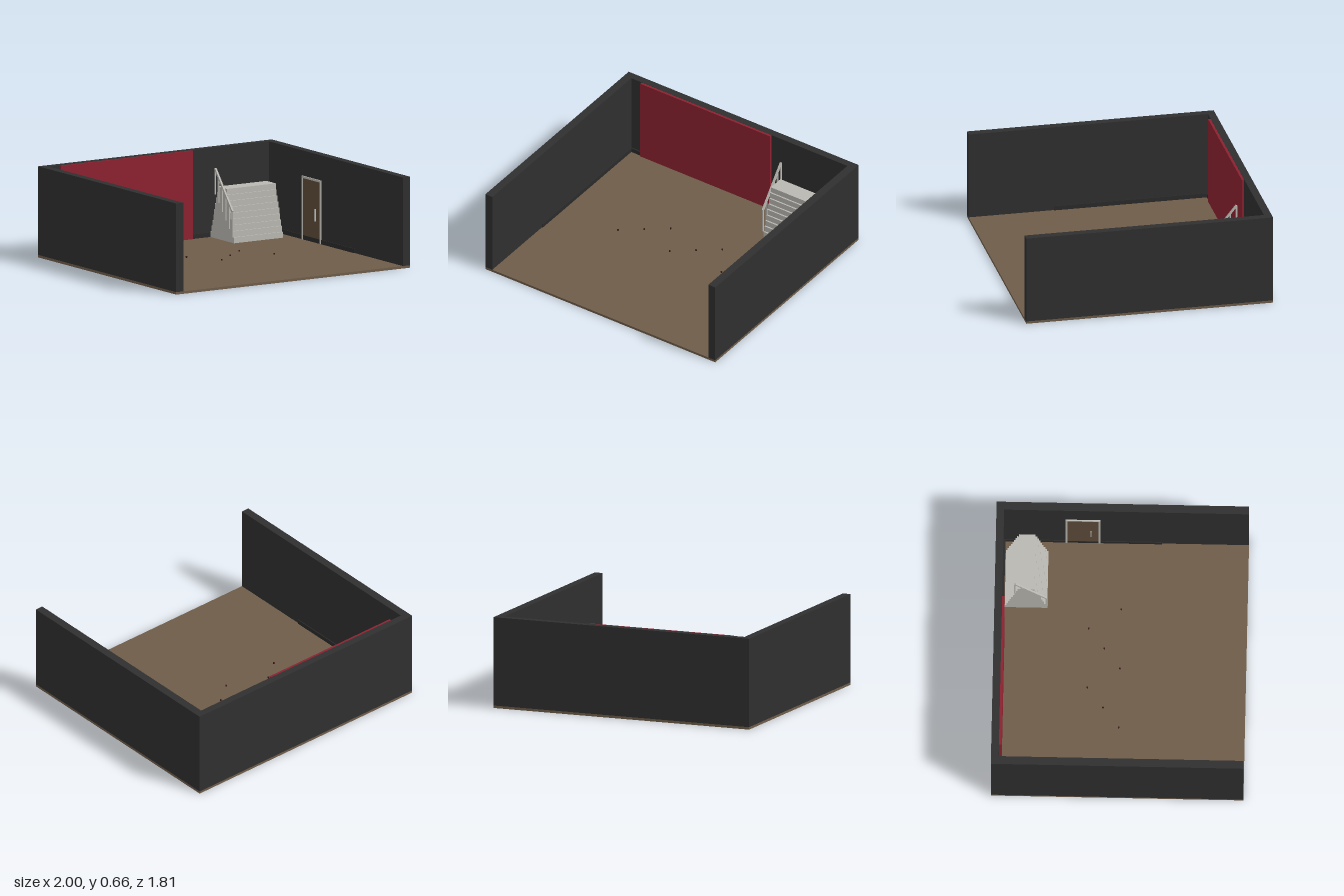
import * as THREE from 'three';

export function createModel() {
  const model = new THREE.Group();
  model.name = 'stageRoom';

  const paint = (name, color) => {
    const m = new THREE.MeshStandardMaterial({ color });
    m.name = name;
    return m;
  };
  const wood = paint('woodBrown', 0x6e5c49);
  const charcoal = paint('charcoal', 0x2f2f2f);
  const skirtingDark = paint('skirtingDark', 0x2a2a2a);
  const red = paint('curtainRed', 0x8c2230);
  const pale = paint('paleGrey', 0xbab8b1);
  const doorBrown = paint('doorBrown', 0x5e4c3a);
  const markRed = paint('markRed', 0x3a1518);

  // Box given by its lower and upper limits on each axis
  const box = (parent, name, mat, [x0, x1], [y0, y1], [z0, z1]) => {
    const mesh = new THREE.Mesh(new THREE.BoxGeometry(x1 - x0, y1 - y0, z1 - z0), mat);
    mesh.position.set((x0 + x1) / 2, (y0 + y1) / 2, (z0 + z1) / 2);
    mesh.name = name;
    parent.add(mesh);
    return mesh;
  };
  const group = (name) => {
    const g = new THREE.Group();
    g.name = name;
    model.add(g);
    return g;
  };

  // Floor and three walls, open at the front
  const floorY = 0.018, top = 0.663, depth = 0.905;
  box(model, 'floor', wood, [-1, 1], [0, floorY], [-depth, depth]);
  box(model, 'backWall', charcoal, [-0.94, 0.94], [floorY, top], [-depth, -0.85]);
  box(model, 'rightWall', charcoal, [-1, -0.94], [floorY, top], [-depth, depth]);
  box(model, 'leftWall', charcoal, [0.94, 1], [floorY, top], [-depth, depth]);

  // Skirting boards
  const skirting = group('skirting');
  box(skirting, 'backSkirting', skirtingDark, [-0.94, 0.94], [floorY, 0.05], [-0.85, -0.84]);
  box(skirting, 'rightSkirting', skirtingDark, [-0.94, -0.933], [floorY, 0.05], [-0.84, 0.28]);
  box(skirting, 'leftSkirting', skirtingDark, [0.933, 0.94], [floorY, 0.05], [-0.84, 0.28]);

  // Backdrop curtain
  box(model, 'curtain', red, [-0.85, 0.28], [floorY, 0.662], [-0.85, -0.832]);

  // Stepped riser, each level shallower than the one below
  const steps = group('steps');
  const levels = 9, rise = (0.4 - floorY) / levels;
  for (let i = 0; i < levels; i++) {
    const inset = i * 0.0115, y = floorY + i * rise;
    box(steps, 'step', pale, [0.432, 0.85], [y, y + rise], [-0.835 + inset, -0.53 - inset]);
  }

  // Sloping handrail on slim posts
  const railing = group('railing');
  const posts = 6;
  for (let i = 0; i < posts; i++) {
    const t = i / (posts - 1);
    const z = -0.762 + 0.226 * t, y = 0.53 - 0.28 * t;
    box(railing, 'railPost', pale, [0.418, 0.428], [y - 0.19, y], [z - 0.005, z + 0.005]);
  }
  const rail = box(railing, 'handrail', pale, [0.416, 0.43], [0.383, 0.397], [-0.829, -0.469]);
  rail.position.z = -0.649;
  rail.rotation.x = Math.atan2(0.28, 0.226);

  // Door on the left wall
  const door = group('door');
  box(door, 'doorPanel', doorBrown, [0.934, 0.94], [floorY, 0.465], [-0.395, -0.175]);
  for (const z of [-0.41, -0.175])
    box(door, 'doorJamb', pale, [0.931, 0.94], [floorY, 0.48], [z, z + 0.015]);
  box(door, 'doorLintel', pale, [0.931, 0.94], [0.465, 0.48], [-0.395, -0.175]);
  box(door, 'doorHandle', pale, [0.922, 0.934], [0.175, 0.265], [-0.232, -0.222]);

  // Small position markers on the floor
  const marks = group('floorMarkers');
  for (const [x, z] of [[-0.17, -0.23], [0.28, -0.23], [-0.32, -0.115], [0.13, -0.115],
    [-0.47, 0], [-0.02, 0], [0.43, 0]]) {
    const m = new THREE.Mesh(new THREE.CylinderGeometry(0.006, 0.006, 0.01, 12), markRed);
    m.position.set(x, floorY + 0.005, z);
    m.name = 'floorMarker';
    marks.add(m);
  }

  return model;
}
